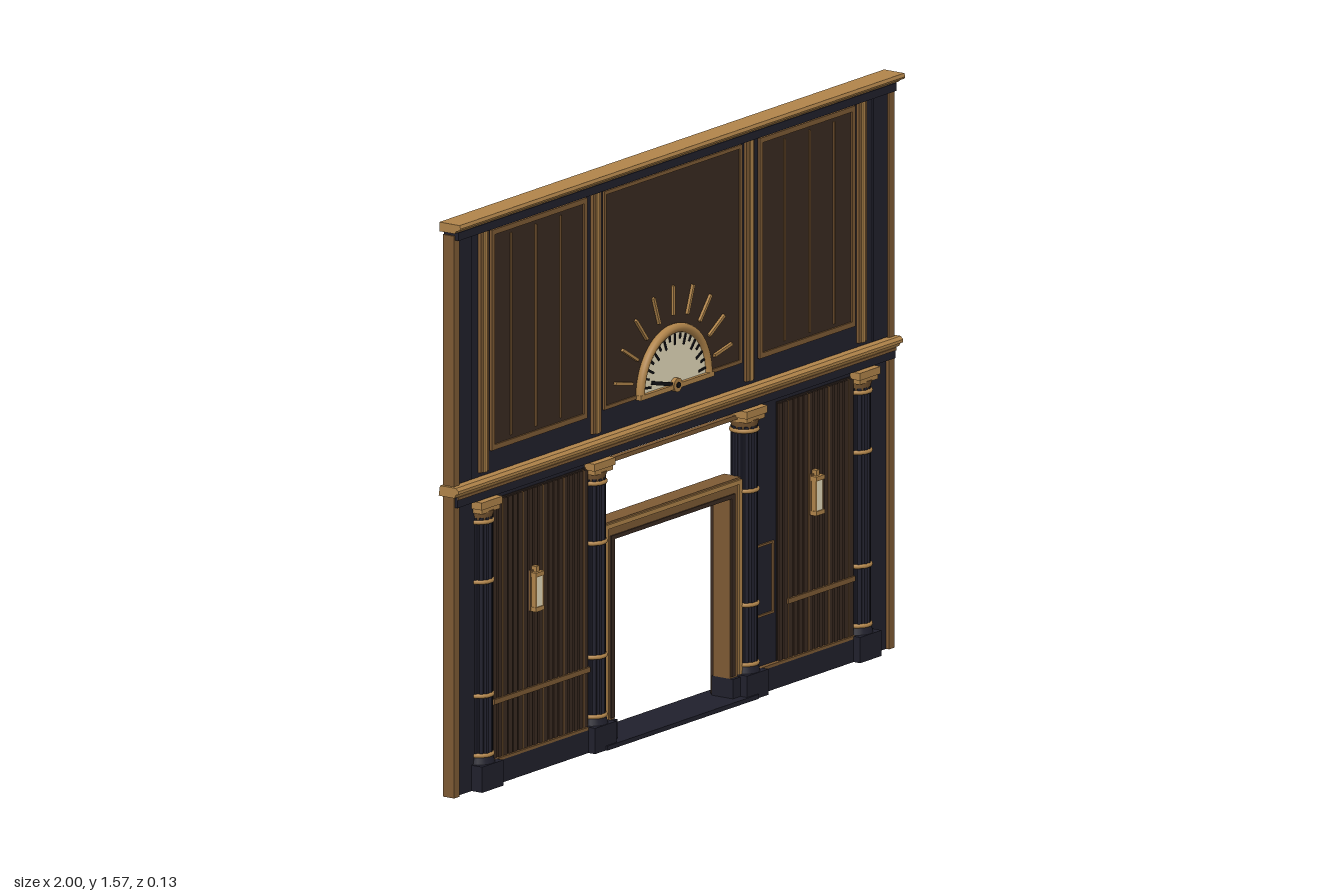
import * as THREE from 'three';

const material = (name, color, side = THREE.FrontSide) => {
  const m = new THREE.MeshStandardMaterial({ color, side });
  m.name = name;
  return m;
};

export function createModel() {
  const model = new THREE.Group();
  model.name = 'panelledWallWithDoorway';
  const navy = material('navy', 0x20202c);
  const black = material('black', 0x121216);
  const brown = material('dark brown wood', 0x3a2a20);
  const umber = material('deep umber', 0x261d1a);
  const bronze = material('bronze', 0x7d5a34);
  const gold = material('gold', 0xb0844a);
  const cream = material('cream', 0xe6dcbc);

  const add = (name, geo, mat, parent = model) => {
    const mesh = new THREE.Mesh(geo, mat);
    mesh.name = name;
    parent.add(mesh);
    return mesh;
  };
  // Box given by its limits on each axis
  const box = (name, mat, x0, x1, y0, y1, z0, z1, parent = model) => {
    const mesh = add(name, new THREE.BoxGeometry(x1 - x0, y1 - y0, z1 - z0), mat, parent);
    mesh.position.set((x0 + x1) / 2, (y0 + y1) / 2, (z0 + z1) / 2);
    return mesh;
  };
  // Rectangular border drawn inwards from its outer limits
  const border = (name, mat, x0, x1, y0, y1, w, z0, z1) => {
    box(name, mat, x0, x1, y1 - w, y1, z0, z1);
    box(name, mat, x0, x1, y0, y0 + w, z0, z1);
    box(name, mat, x0, x0 + w, y0 + w, y1 - w, z0, z1);
    box(name, mat, x1 - w, x1, y0 + w, y1 - w, z0, z1);
  };
  // Moulding: a (z, y) profile run along x
  const moulding = (name, mat, points, half) => {
    const shape = new THREE.Shape(points.map(([z, y]) => new THREE.Vector2(-z, y)));
    const geo = new THREE.ExtrudeGeometry(shape, { depth: half * 2, bevelEnabled: false });
    geo.rotateY(Math.PI / 2).translate(-half, 0, 0);
    return add(name, geo, mat);
  };

  // Wall with the doorway cut out
  const wall = new THREE.Shape();
  [[-0.97, 0], [-0.335, 0], [-0.335, 0.785], [0.335, 0.785], [0.335, 0], [0.97, 0], [0.97, 1.53], [-0.97, 1.53]]
    .forEach(([x, y], i) => (i ? wall.lineTo(x, y) : wall.moveTo(x, y)));
  add('wall', new THREE.ExtrudeGeometry(wall, { depth: 0.027, bevelEnabled: false }), navy);

  // Top cornice and the ledge between the storeys
  moulding('topCornice', gold, [[-0.004, 1.54], [0.045, 1.54], [0.052, 1.548], [0.062, 1.55],
    [0.065, 1.556], [0.062, 1.565], [-0.004, 1.565]], 1);
  box('corniceBed', navy, -0.985, 0.985, 1.518, 1.54, 0, 0.048);
  box('rearTopStrip', umber, -0.92, 0.92, 1.495, 1.52, -0.003, 0);
  moulding('middleLedge', gold, [[-0.006, 0.82], [0.045, 0.82], [0.05, 0.83], [0.058, 0.832],
    [0.058, 0.84], [0.05, 0.848], [-0.002, 0.848]], 1);
  box('frieze', navy, -0.985, 0.985, 0.79, 0.82, 0, 0.044);
  box('friezeBead', bronze, -0.985, 0.985, 0.812, 0.82, 0.044, 0.048);
  box('rearLedgeStrip', bronze, -0.92, 0.92, 0.812, 0.826, -0.008, 0);

  // Upper storey panels and pilasters
  box('centrePanel', brown, -0.31, 0.31, 0.915, 1.51, 0.026, 0.03);
  border('centrePanelTrim', bronze, -0.31, 0.31, 0.915, 1.51, 0.01, 0.03, 0.034);
  for (const s of [-1, 1]) {
    const a = s < 0 ? -0.818 : 0.388, b = s < 0 ? -0.388 : 0.818;
    box('upperPanel', brown, a, b, 0.91, 1.51, 0.026, 0.03);
    border('upperPanelTrim', bronze, a, b, 0.91, 1.51, 0.014, 0.03, 0.035);
    for (const x of [0.503, 0.615, 0.727])
      box('panelBead', bronze, s * x - 0.003, s * x + 0.003, 0.935, 1.485, 0.03, 0.034);
    for (const x of [0.345, 0.85]) {
      box('pilaster', bronze, s * x - 0.018, s * x + 0.018, 0.86, 1.518, 0.026, 0.036);
      box('pilasterRib', gold, s * x - 0.006, s * x + 0.006, 0.86, 1.518, 0.036, 0.04);
    }
    box('outerStile', navy, s * 0.935 - 0.033, s * 0.935 + 0.033, 0.85, 1.518, 0.026, 0.032);
    box('sideEdge', bronze, s * 0.978 - 0.012, s * 0.978 + 0.012, 0, 1.53, 0, 0.037);
  }

  // Half-round dial with sun rays
  const dial = new THREE.Group();
  dial.name = 'dial';
  dial.position.set(0, 0.922, 0.03);
  model.add(dial);
  add('dialFace', new THREE.CircleGeometry(0.148, 40, 0, Math.PI), cream, dial).position.z = 0.008;
  add('dialRim', new THREE.TorusGeometry(0.152, 0.013, 10, 40, Math.PI), gold, dial).position.z = 0.006;
  box('dialSill', gold, -0.165, 0.165, -0.01, 0.003, 0, 0.018, dial);
  const radial = (name, mat, angle, r0, r1, w, z0, z1) => {
    const arm = new THREE.Group();
    arm.name = name;
    arm.rotation.z = angle;
    dial.add(arm);
    box(name, mat, r0, r1, -w / 2, w / 2, z0, z1, arm);
  };
  for (let i = 0; i <= 16; i++)
    radial('dialTick', black, Math.PI * (0.04 + 0.92 * i / 16), i % 2 ? 0.122 : 0.108, 0.138, 0.006, 0.008, 0.011);
  for (let i = 0; i < 9; i++)
    radial('sunRay', gold, (12 + 19.5 * i) * Math.PI / 180, 0.188, 0.268, 0.008, 0, 0.008);
  radial('dialHand', black, 2.9, 0, 0.112, 0.01, 0.011, 0.015);
  const hub = add('dialHub', new THREE.CylinderGeometry(0.019, 0.019, 0.016, 16), gold, dial);
  hub.rotation.x = Math.PI / 2;
  hub.position.z = 0.012;
  const pin = add('hubPin', new THREE.CylinderGeometry(0.008, 0.008, 0.02, 12), black, dial);
  pin.rotation.x = Math.PI / 2;
  pin.position.z = 0.013;

  // Lower storey slatted panelling
  const slats = (x0, x1, railStart) => {
    box('panelBacking', umber, x0, x1, 0.07, 0.775, 0.026, 0.029);
    const n = Math.round((x1 - x0) / 0.0225), step = (x1 - x0) / n;
    for (let i = 0; i < n; i++)
      box('slat', brown, x0 + step * i + 0.003, x0 + step * (i + 1) - 0.003, 0.07, 0.77, 0.029, 0.034);
    for (let i = 2; i < n; i += 4)
      box('slatBead', bronze, x0 + step * i - 0.002, x0 + step * i + 0.002, 0.07, 0.77, 0.029, 0.035);
    box('panelRail', bronze, railStart, x1, 0.218, 0.232, 0.03, 0.039);
  };
  slats(-0.812, -0.38, -0.812);
  slats(0.472, 0.812, 0.51);
  for (const s of [-1, 1]) {
    box('baseboard', navy, s * 0.595 - 0.22, s * 0.595 + 0.22, 0, 0.062, 0.026, 0.04);
    box('baseboardBead', bronze, s * 0.595 - 0.22, s * 0.595 + 0.22, 0.062, 0.07, 0.026, 0.04);
  }
  border('serviceHatchTrim', bronze, 0.368, 0.457, 0.205, 0.402, 0.006, 0.026, 0.032);

  // Fluted columns standing through the wall
  const flutes = new THREE.Shape();
  for (let i = 0; i < 48; i++) {
    const a = i / 48 * Math.PI * 2, r = i % 4 === 0 ? 0.031 : 0.036;
    if (i) flutes.lineTo(r * Math.cos(a), r * Math.sin(a));
    else flutes.moveTo(r, 0);
  }
  const shaft = new THREE.ExtrudeGeometry(flutes, { depth: 0.66, bevelEnabled: false }).rotateX(-Math.PI / 2);
  for (const x of [-0.85, -0.342, 0.342, 0.85]) {
    const column = new THREE.Group();
    column.name = 'column';
    column.position.set(x, 0, 0.0175);
    model.add(column);
    box('plinth', navy, -0.048, 0.048, 0, 0.07, -0.038, 0.044, column);
    add('columnBase', new THREE.CylinderGeometry(0.037, 0.042, 0.02, 24), navy, column).position.y = 0.08;
    add('shaft', shaft, navy, column).position.y = 0.08;
    for (const y of [0.093, 0.255, 0.565, 0.728]) {
      const ring = add('ring', new THREE.TorusGeometry(0.035, 0.006, 8, 28), gold, column);
      ring.rotation.x = Math.PI / 2;
      ring.position.y = y;
    }
    add('capitalBell', new THREE.CylinderGeometry(0.041, 0.033, 0.025, 24), bronze, column).position.y = 0.746;
    box('capitalTier', gold, -0.041, 0.041, 0.755, 0.768, -0.034, 0.038, column);
    box('capitalTop', gold, -0.047, 0.047, 0.768, 0.788, -0.038, 0.042, column);
  }

  // Door frame, transom rail and threshold
  for (const s of [-1, 1]) {
    box('doorJamb', bronze, s * 0.285 - 0.025, s * 0.285 + 0.025, 0.01, 0.555, -0.025, 0.03);
    box('jambRearTrim', brown, s * 0.291 - 0.019, s * 0.291 + 0.019, 0.01, 0.555, -0.042, -0.025);
    box('jambFrontTrim', gold, s * 0.301 - 0.006, s * 0.301 + 0.006, 0.07, 0.6, 0.03, 0.036);
    box('jambInnerTrim', brown, s * 0.271 - 0.008, s * 0.271 + 0.008, 0.07, 0.56, 0.03, 0.034);
    box('jambFoot', navy, s * 0.286 - 0.026, s * 0.286 + 0.026, 0.01, 0.065, -0.03, 0.04);
  }
  box('doorLintel', bronze, -0.31, 0.31, 0.555, 0.605, -0.025, 0.03);
  box('lintelRearTrim', bronze, -0.31, 0.31, 0.555, 0.578, -0.042, -0.025);
  box('lintelFrontTrim', gold, -0.307, 0.307, 0.588, 0.6, 0.03, 0.036);
  box('lintelInnerTrim', brown, -0.279, 0.279, 0.555, 0.566, 0.03, 0.034);
  box('transomRail', bronze, -0.31, 0.31, 0.762, 0.774, 0.008, 0.024);
  box('threshold', navy, -0.34, 0.34, 0, 0.012, -0.066, 0.066);

  // Wall lamps
  for (const x of [-0.63, 0.63]) {
    const lamp = new THREE.Group();
    lamp.name = 'wallLamp';
    lamp.position.set(x, 0.495, 0.034);
    model.add(lamp);
    box('lampPlate', bronze, -0.02, 0.02, -0.055, 0.055, 0, 0.006, lamp);
    box('lampGlass', cream, -0.013, 0.013, -0.045, 0.04, 0.006, 0.02, lamp);
    box('lampCap', gold, -0.019, 0.019, 0.038, 0.05, 0, 0.023, lamp);
    box('lampFinial', gold, -0.007, 0.007, 0.05, 0.065, 0, 0.015, lamp);
    box('lampFoot', gold, -0.019, 0.019, -0.056, -0.044, 0, 0.023, lamp);
    for (const s of [-1, 1])
      box('lampBar', gold, s * 0.015 - 0.002, s * 0.015 + 0.002, -0.044, 0.038, 0.004, 0.021, lamp);
  }
  return model;
}
